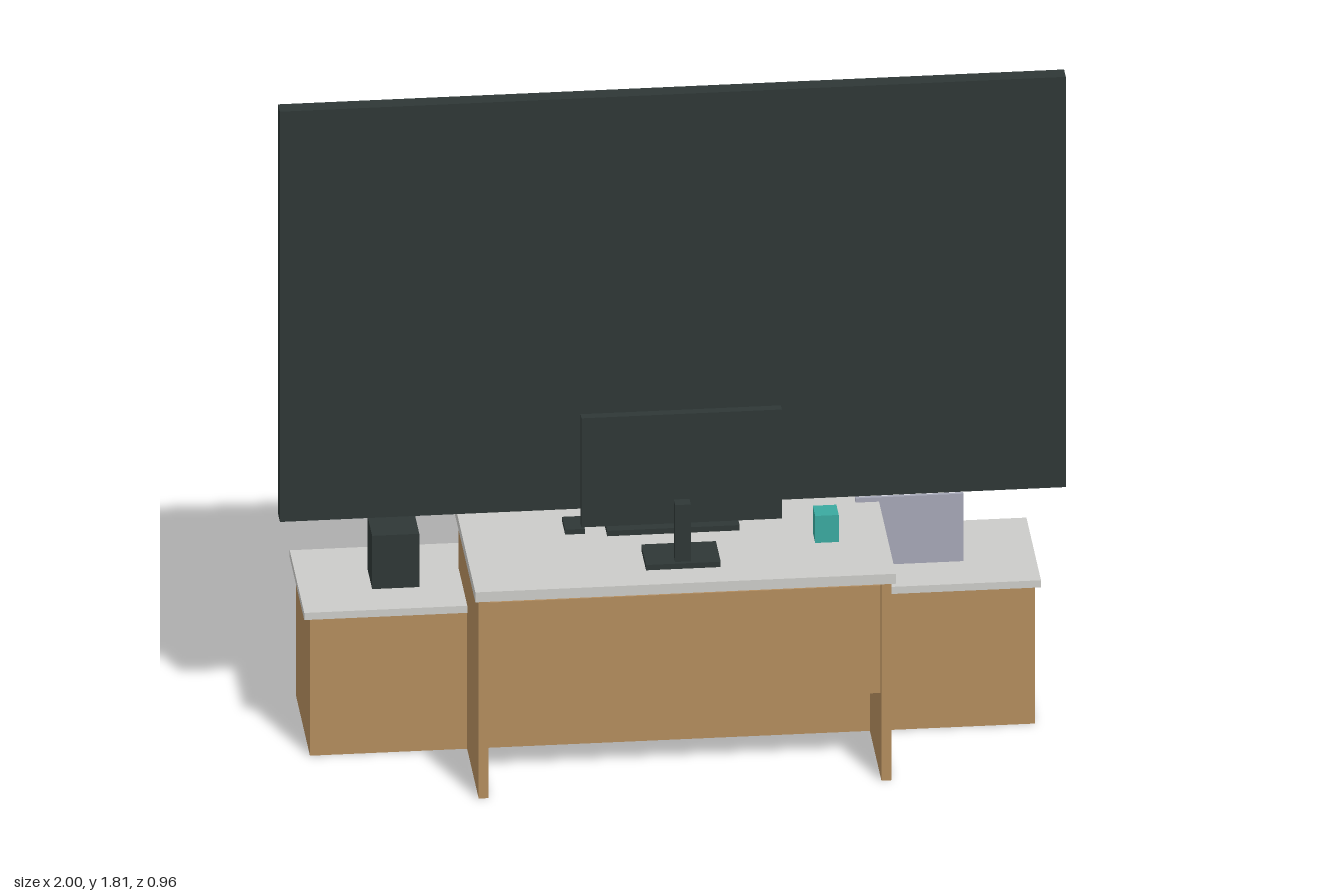
import * as THREE from 'three';

const mat = (name, color) => {
  const m = new THREE.MeshStandardMaterial({ color });
  m.name = name;
  return m;
};

export function createModel() {
  const model = new THREE.Group();
  model.name = 'workstation';
  const charcoal = mat('charcoal', 0x2e3736);
  const wood = mat('wood', 0xb28c5d);
  const white = mat('white', 0xcbcbc8);
  const teal = mat('teal', 0x3aa99f);
  const navy = mat('navy', 0x1f2a3f);
  const silver = mat('silver', 0xa5a7b6);
  const metal = mat('metal', 0x86878f);
  const blue = mat('blue', 0x6a8acb);
  const green = mat('green', 0x9abb5c);
  const red = mat('red', 0xd9626e);

  const group = (name) => {
    const g = new THREE.Group();
    g.name = name;
    model.add(g);
    return g;
  };
  // Box given by its extents on each axis
  const box = (parent, name, material, [x0, x1], [y0, y1], [z0, z1]) => {
    const mesh = new THREE.Mesh(new THREE.BoxGeometry(x1 - x0, y1 - y0, z1 - z0), material);
    mesh.position.set((x0 + x1) / 2, (y0 + y1) / 2, (z0 + z1) / 2);
    mesh.name = name;
    parent.add(mesh);
    return mesh;
  };

  // Low cabinet with its worktop
  const cabinet = group('cabinet');
  box(cabinet, 'cabinetBody', wood, [-0.925, 0.92], [0, 0.385], [-0.17, 0.175]);
  box(cabinet, 'cabinetTop', white, [-0.94, 0.935], [0.385, 0.405], [-0.185, 0.18]);

  // Raised desk straddling the cabinet
  const desk = group('desk');
  box(desk, 'deskTop', white, [-0.535, 0.535], [0.56, 0.588], [-0.055, 0.48]);
  for (const s of [-1, 1]) {
    const x = [s * 0.5, s * 0.525].sort((a, b) => a - b);
    box(desk, 'sidePanel', wood, x, [0, 0.56], [-0.04, 0.465]);
  }
  box(desk, 'modestyPanel', wood, [-0.5, 0.5], [0.235, 0.538], [0.42, 0.44]);

  // Large display, its picture facing the chair
  const display = group('largeDisplay');
  box(display, 'displayCase', charcoal, [-1, 1], [0.655, 1.81], [0.118, 0.161]);
  const plate = (name, m, x, y, z = 0.109) => box(display, name, m, x, y, [z, 0.118]);
  plate('displayScreen', navy, [-0.97, 0.97], [0.69, 1.775], 0.115);
  plate('headerBar', teal, [-0.97, 0.97], [1.65, 1.772], 0.112);
  plate('headerTitle', white, [0.23, 0.93], [1.685, 1.73]);
  plate('videoPanel', navy, [-0.833, -0.147], [1.02, 1.49], 0.112);
  plate('playButton', silver, [-0.617, -0.339], [1.114, 1.386], 0.11);
  plate('progressDone', teal, [0.083, 0.85], [0.755, 0.786]);
  plate('progressRest', metal, [-0.857, 0.083], [0.755, 0.786]);

  // Play triangle
  const tri = new THREE.Shape([
    new THREE.Vector2(-0.426, 1.325),
    new THREE.Vector2(-0.426, 1.16),
    new THREE.Vector2(-0.554, 1.245),
  ]);
  const play = new THREE.Mesh(new THREE.ExtrudeGeometry(tri, { depth: 0.004, bevelEnabled: false }), navy);
  play.name = 'playTriangle';
  play.position.z = 0.108;
  display.add(play);

  // Rows of code: colour, start x, end x
  const rows = [
    [blue, 0.912, 0.641], [wood, 0.857, 0.363], [green, 0.793, 0.458], [blue, 0.793, 0.554],
    [red, 0.857, 0.267], [blue, 0.793, 0.378], [wood, 0.729, 0.474], [green, 0.857, 0.578],
    [blue, 0.912, 0.29], [red, 0.912, 0.386], [blue, 0.857, 0.498],
  ];
  rows.forEach(([m, start, end], i) => {
    const top = 1.554 - 0.058 * i;
    plate('codeRow', m, [end, start], [top - 0.036, top]);
  });

  // Small monitor on a stand
  const monitor = group('monitor');
  box(monitor, 'monitorCase', charcoal, [-0.255, 0.255], [0.71, 1.017], [0.358, 0.382]);
  box(monitor, 'monitorScreen', navy, [-0.237, 0.237], [0.728, 1.0], [0.354, 0.358]);
  box(monitor, 'monitorPost', charcoal, [-0.02, 0.02], [0.61, 0.777], [0.382, 0.415]);
  box(monitor, 'monitorBase', charcoal, [-0.095, 0.095], [0.602, 0.617], [0.305, 0.425]);
  rows.slice(0, 10).forEach(([m, start, end], i) => {
    const top = 0.985 - 0.024 * i;
    const x0 = 0.22 - (0.912 - start) * 0.5;
    box(monitor, 'codeRow', m, [x0 - (start - end) * 0.5, x0], [top - 0.012, top], [0.349, 0.354]);
  });

  // Desk accessories
  const items = group('accessories');
  box(items, 'keyboard', charcoal, [-0.17, 0.167], [0.588, 0.603], [0.08, 0.19]);
  box(items, 'mouse', charcoal, [-0.275, -0.225], [0.588, 0.602], [0.095, 0.17]);
  box(items, 'cup', teal, [0.35, 0.41], [0.588, 0.664], [0.222, 0.282]);
  box(items, 'speaker', charcoal, [-0.755, -0.635], [0.405, 0.555], [-0.063, 0.06]);

  // Laptop with its lid upright
  const laptop = group('laptop');
  box(laptop, 'laptopBase', silver, [0.475, 0.75], [0.41, 0.426], [-0.135, 0.06]);
  box(laptop, 'laptopLid', silver, [0.475, 0.75], [0.426, 0.6], [0.05, 0.06]);
  box(laptop, 'laptopScreen', navy, [0.49, 0.735], [0.442, 0.587], [0.046, 0.05]);

  // Swivel chair
  const chair = group('chair');
  box(chair, 'seat', charcoal, [-0.19, 0.19], [0.332, 0.383], [-0.45, -0.075]);
  box(chair, 'backrest', charcoal, [-0.185, 0.185], [0.41, 0.793], [-0.472, -0.426]);
  box(chair, 'backrestBracket', metal, [-0.025, 0.025], [0.375, 0.58], [-0.44, -0.419]);
  box(chair, 'chairPost', metal, [-0.024, 0.024], [0.04, 0.332], [-0.289, -0.241]);
  box(chair, 'footBarAcross', metal, [-0.215, 0.215], [0.008, 0.043], [-0.287, -0.243]);
  box(chair, 'footBarAlong', metal, [-0.022, 0.022], [0.008, 0.043], [-0.48, -0.05]);

  return model;
}
